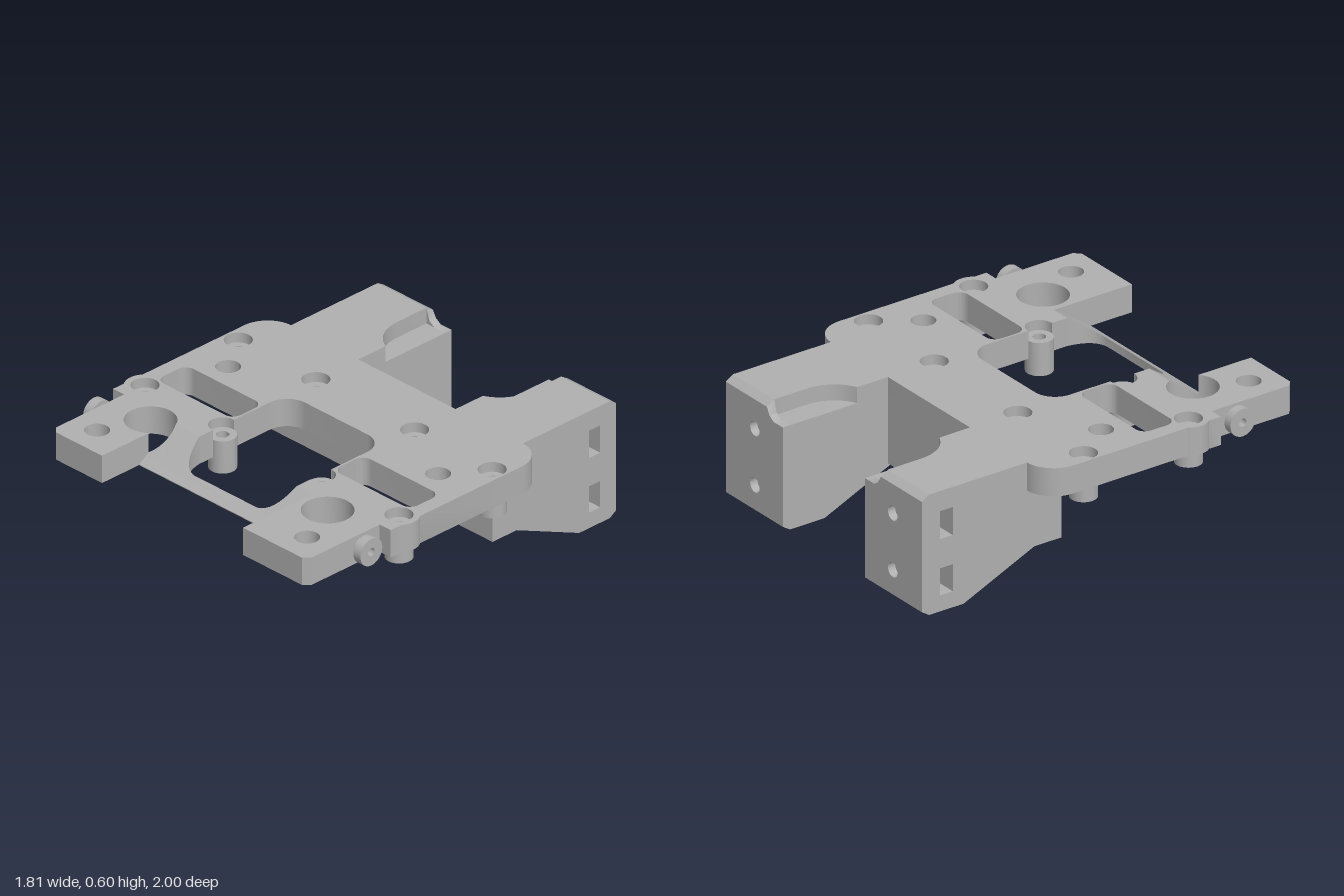
import * as THREE from 'three';
import { toCreasedNormals } from 'three/addons/utils/BufferGeometryUtils.js';

const PI = Math.PI;
const TOP = 0.6, BOTTOM = 0.46;

const extrude = (shape, depth) =>
  new THREE.ExtrudeGeometry(shape, { depth, bevelEnabled: false, curveSegments: 20 });

// Plan shape (x, z) extruded from y0 up to y1
const plan = (shape, y0, y1) => extrude(shape, y1 - y0).rotateX(PI / 2).translate(0, y1, 0);

// Side shape (-z, y) extruded from x0 to x1
const side = (shape, x0, x1) =>
  extrude(shape, Math.abs(x1 - x0)).rotateY(PI / 2).translate(Math.min(x0, x1), 0, 0);

const poly = (pts) => new THREE.Shape(pts.map(([x, y]) => new THREE.Vector2(x, y)));

function circle(x, y, r) {
  const p = new THREE.Shape();
  p.absarc(x, y, r, 0, 2 * PI, false);
  return p;
}

function ring(x, y, r, inner) {
  const p = circle(x, y, r);
  p.holes.push(circle(x, y, inner));
  return p;
}

function roundedRect(x0, y0, x1, y1, r) {
  const p = new THREE.Shape();
  p.absarc(x1 - r, y0 + r, r, -PI / 2, 0, false);
  p.absarc(x1 - r, y1 - r, r, 0, PI / 2, false);
  p.absarc(x0 + r, y1 - r, r, PI / 2, PI, false);
  p.absarc(x0 + r, y0 + r, r, PI, 1.5 * PI, false);
  p.closePath();
  return p;
}

// Move every vertex by a rule
function bend(geo, rule) {
  const p = geo.attributes.position, v = new THREE.Vector3();
  for (let i = 0; i < p.count; i++) {
    v.fromBufferAttribute(p, i);
    rule(v);
    p.setXYZ(i, v.x, v.y, v.z);
  }
  return geo;
}

// Outline of the flat deck, with the central opening running out to the front
function deckShape() {
  const s = new THREE.Shape();
  s.moveTo(-0.735, -0.42);
  s.lineTo(0.735, -0.42);
  s.absarc(0.735, -0.27, 0.15, -PI / 2, 0, false);
  s.absarc(0.81, 0.42, 0.095, -0.66, 0.66, false);
  for (const [x, z] of [[0.885, 0.545], [0.815, 0.545], [0.815, 0.97], [0.785, 1], [0.41, 1], [0.41, 0.57], [0.31, 0.57]]) s.lineTo(x, z);
  s.absarc(0.315, 0.42, 0.065, PI / 2 + 0.08, -PI / 2 - 0.08, true);
  s.absarc(0.2, 0.13, 0.11, 0, -PI / 2, true);
  s.absarc(-0.2, 0.13, 0.11, -PI / 2, -PI, true);
  s.absarc(-0.315, 0.42, 0.065, -PI / 2 + 0.08, -1.5 * PI - 0.08, true);
  s.lineTo(-0.31, 0.57);
  s.lineTo(-0.461, 0.57);
  s.absarc(-0.57, 0.62, 0.12, -0.43, 0.84 - 2 * PI, true);
  for (const [x, z] of [[-0.49, 1], [-0.785, 1], [-0.815, 0.97], [-0.815, 0.545], [-0.885, 0.545]]) s.lineTo(x, z);
  s.absarc(-0.81, 0.42, 0.095, PI - 0.66, PI + 0.66, false);
  s.absarc(-0.735, -0.27, 0.15, PI, 1.5 * PI, false);
  s.closePath();

  s.holes.push(circle(0.56, 0.62, 0.12));
  for (const k of [-1, 1]) {
    s.holes.push(circle(k * 0.81, -0.16, 0.065), circle(k * 0.315, -0.16, 0.065), circle(k * 0.81, 0.42, 0.065));
    s.holes.push(circle(k * 0.67, 0.04, 0.058), circle(k * 0.67, 0.855, 0.058));
    s.holes.push(k > 0 ? roundedRect(0.32, 0.165, 0.81, 0.352, 0.05) : roundedRect(-0.81, 0.165, -0.32, 0.352, 0.05));
  }
  return s;
}

// Front bridge, whose top slopes down to a thin front edge
function bridgeShape() {
  const s = new THREE.Shape();
  s.moveTo(0.31, 0.57);
  s.lineTo(0.41, 0.57);
  s.lineTo(0.41, 0.77);
  s.lineTo(-0.49, 0.77);
  s.absarc(-0.57, 0.62, 0.12, 0.84, -0.43, true);
  s.lineTo(-0.31, 0.57);
  s.quadraticCurveTo(-0.29, 0.7, -0.2, 0.71);
  s.lineTo(0.2, 0.71);
  s.quadraticCurveTo(0.29, 0.7, 0.31, 0.57);
  return s;
}

export function createModel() {
  const grey = new THREE.MeshStandardMaterial({ color: 0xb0b0b0 });
  grey.name = 'plainGrey';
  const model = new THREE.Group();
  model.name = 'mountingBracket';

  const add = (name, geo, parent = model) => {
    const mesh = new THREE.Mesh(toCreasedNormals(geo, 0.6), grey);
    mesh.name = name;
    parent.add(mesh);
  };

  add('deck', plan(deckShape(), BOTTOM, TOP));
  add('frontBridge', bend(plan(bridgeShape(), BOTTOM, TOP), (v) => {
    if (v.y > 0.5) v.y = Math.max(BOTTOM + 0.004, TOP - 0.7 * (v.z - 0.57));
  }));

  // Cross beam under the rear of the deck
  add('rearBeam', new THREE.BoxGeometry(0.64, 0.35, 0.19).translate(0, 0.345, -0.325));

  for (const k of [-1, 1]) {
    // Screw bosses, sunk below the deck top
    for (const x of [0.315, 0.81])
      for (const z of [-0.16, 0.42]) add('screwBoss', plan(ring(k * x, z, 0.065, 0.03), 0.385, 0.55));

    // Floors of the blind round pockets
    for (const z of [0.04, 0.855]) add('pocketFloor', plan(circle(k * 0.67, z, 0.058), 0.455, 0.52));

    // Side stud on a narrow neck
    add('studNeck', side(ring(-0.665, 0.54, 0.04, 0.02), k * 0.81, k * 0.85));
    add('studHead', side(ring(-0.665, 0.535, 0.068, 0.02), k * 0.84, k * 0.885));

    // Rear leg: solid inner half, outer half with nut slots
    const leg = new THREE.Group();
    leg.name = k > 0 ? 'leftLeg' : 'rightLeg';
    model.add(leg);
    const profile = () => poly([[0.23, 0.52], [0.23, 0.17], [0.38, 0.17], [0.77, 0], [0.96, 0], [0.96, 0.52]]);
    const slotted = profile();
    for (const [y0, y1] of [[0.08, 0.215], [0.36, 0.5]])
      slotted.holes.push(poly([[0.83, y0], [0.9, y0], [0.9, y1], [0.83, y1]]));
    add('legInner', side(profile(), k * 0.31, k * 0.62), leg);
    add('legOuter', side(slotted, k * 0.62, k * 0.74), leg);

    // Leg top with the scooped inner edge
    const cap = new THREE.Shape();
    cap.moveTo(k * 0.74, -0.42);
    cap.lineTo(k * 0.74, -0.96);
    cap.lineTo(k * 0.43, -0.96);
    cap.lineTo(k * 0.43, -0.77);
    cap.quadraticCurveTo(k * 0.42, -0.64, k * 0.31, -0.59);
    cap.lineTo(k * 0.31, -0.42);
    add('legTop', plan(cap, 0.52, TOP), leg);

    // Rear face with two bolt holes and eased top and bottom edges
    const rear = poly([[0.74, 0], [0.74, TOP], [0.43, TOP], [0.41, 0.54], [0.38, 0.52], [0.31, 0.52], [0.31, 0]]
      .map(([x, y]) => [k * x, y]));
    for (const y of [0.148, 0.43]) rear.holes.push(circle(k * 0.52, y, 0.036));
    add('legRear', bend(extrude(rear, 0.04).translate(0, 0, -1), (v) => {
      if (v.z < -0.99) v.y = Math.min(TOP - 0.025, Math.max(0.025, v.y));
    }), leg);
  }
  return model;
}
